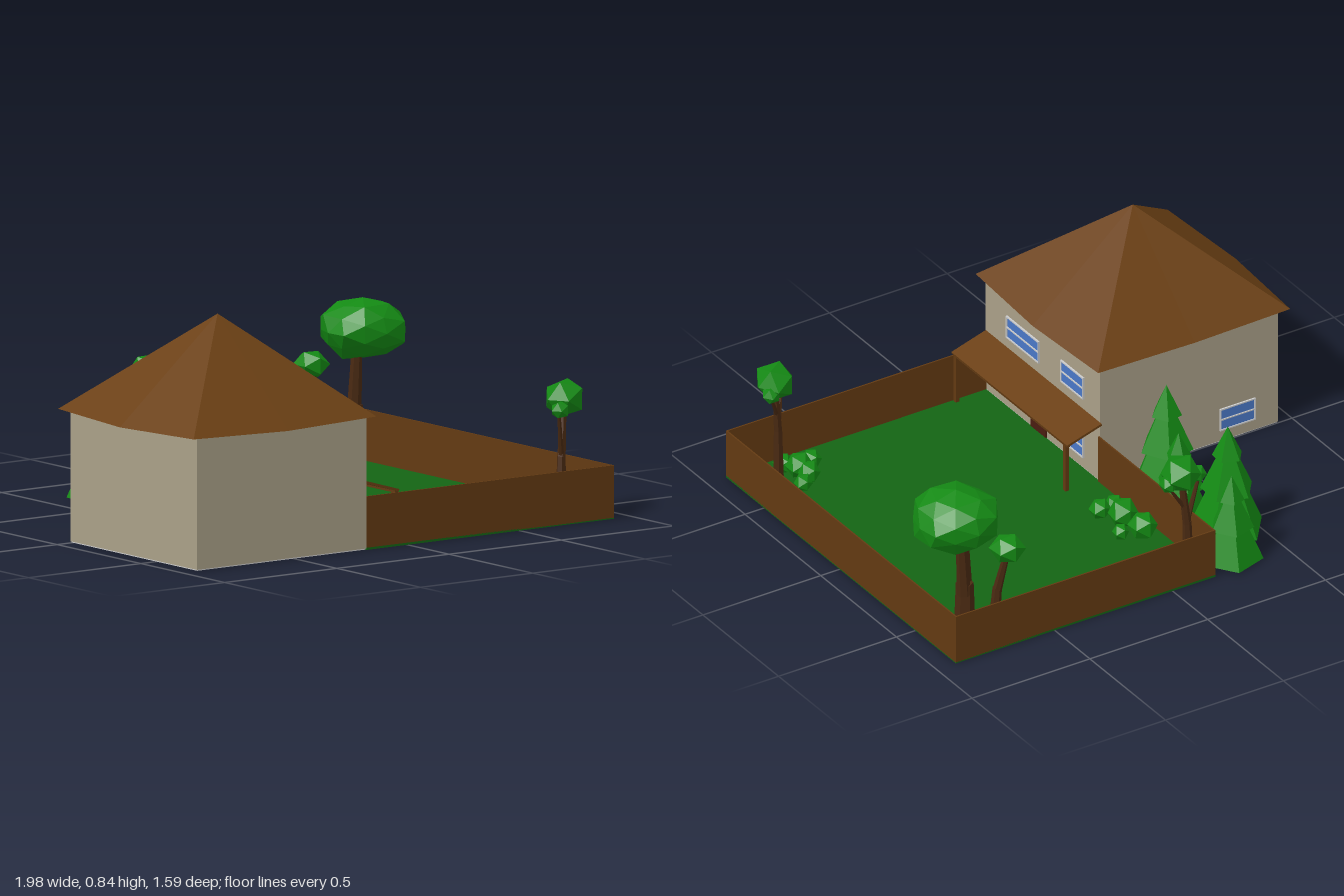
import * as THREE from 'three';

const mat = (color, double = false) => new THREE.MeshStandardMaterial({
  color, flatShading: true, side: double ? THREE.DoubleSide : THREE.FrontSide,
});
const M = {
  wall: mat(0xaaa088), roof: mat(0x6b4014, true), wood: mat(0x633a12), door: mat(0x4a1c10),
  grass: mat(0x146414), leaf: mat(0x148a14), bark: mat(0x4a2a12),
  frame: mat(0xe0e0e0), glass: mat(0x4a78c8), floor: mat(0xcccccc),
};

function add(parent, name, geo, material, x = 0, y = 0, z = 0) {
  const m = new THREE.Mesh(geo, material);
  m.name = name;
  m.position.set(x, y, z);
  parent.add(m);
  return m;
}

// box given by its min and max corners
function box(parent, name, material, a, b) {
  const s = b.map((v, i) => v - a[i]);
  return add(parent, name, new THREE.BoxGeometry(...s), material,
    ...a.map((v, i) => v + s[i] / 2));
}

function group(parent, name, x = 0, y = 0, z = 0) {
  const g = new THREE.Group();
  g.name = name;
  g.position.set(x, y, z);
  parent.add(g);
  return g;
}

// faceted leaf clump; shared corners move together
function clump(parent, name, c, r, detail = 0, seed = 1) {
  const geo = new THREE.IcosahedronGeometry(1, detail);
  const p = geo.attributes.position, v = new THREE.Vector3();
  for (let i = 0; i < p.count; i++) {
    v.fromBufferAttribute(p, i);
    const k = Math.sin(Math.round(v.x * 50) * 1.7 + Math.round(v.y * 50) * 2.3
      + Math.round(v.z * 50) * 3.1 + seed);
    v.multiplyScalar(1 + 0.08 * k);
    p.setXYZ(i, v.x * r[0], v.y * r[1], v.z * r[2]);
  }
  geo.computeVertexNormals();
  return add(parent, name, geo, M.leaf, ...c);
}

// tapered limb between two points
function limb(parent, name, a, b, r0, r1) {
  const A = new THREE.Vector3(...a), B = new THREE.Vector3(...b);
  const d = B.clone().sub(A);
  const m = add(parent, name, new THREE.CylinderGeometry(r1, r0, d.length(), 6), M.bark);
  m.position.copy(A).addScaledVector(d, 0.5);
  m.quaternion.setFromUnitVectors(new THREE.Vector3(0, 1, 0), d.normalize());
}

// framed window on the x-y plane facing +z
function windowUnit(parent, name, w, h, x, y, z, turn) {
  const g = group(parent, name, x, y, z);
  g.rotation.y = turn;
  const t = 0.005;
  box(g, 'glass', M.glass, [-w / 2, -h / 2, -0.003], [w / 2, h / 2, 0.002]);
  for (const s of [-1, 0, 1])
    add(g, 'frameRail', new THREE.BoxGeometry(w + t, t, 0.012), M.frame, 0, s * h / 2, 0);
  for (const s of [-1, 1])
    add(g, 'frameStile', new THREE.BoxGeometry(t, h + t, 0.012), M.frame, s * w / 2, 0, 0);
}

function house(root) {
  const g = group(root, 'house');
  box(g, 'walls', M.wall, [-0.94, 0.012, 0], [-0.185, 0.5, 0.755]);
  box(g, 'floor', M.floor, [-0.938, 0.008, 0.002], [-0.187, 0.014, 0.753]);

  // hipped roof with slightly bowed eaves
  const eave = [[-0.97, 0.775], [-0.565, 0.795], [-0.155, 0.775], [-0.14, 0.375],
    [-0.155, -0.035], [-0.565, -0.035], [-0.97, -0.035], [-1, 0.375]];
  const tri = [];
  eave.forEach(([x, z], i) => {
    const [u, w] = eave[(i + 1) % 8];
    const y = i % 2 ? 0.482 : 0.49, y2 = i % 2 ? 0.49 : 0.482;
    tri.push(x, y, z, u, y2, w, -0.565, 0.85, 0.375);
    tri.push(u, y2, w, x, y, z, -0.565, 0.495, 0.375);
  });
  const geo = new THREE.BufferGeometry();
  geo.setAttribute('position', new THREE.Float32BufferAttribute(tri, 3));
  geo.computeVertexNormals();
  add(g, 'roof', geo, M.roof);

  // windows and door
  const side = Math.PI / 2;
  windowUnit(g, 'upperWideWindow', 0.21, 0.085, -0.184, 0.345, 0.505, side);
  windowUnit(g, 'upperWindow', 0.145, 0.085, -0.184, 0.345, 0.178, side);
  windowUnit(g, 'lowerWindow', 0.145, 0.085, -0.184, 0.1, 0.178, side);
  windowUnit(g, 'backWindow', 0.145, 0.085, -0.767, 0.1, -0.001, Math.PI);
  box(g, 'door', M.door, [-0.188, 0.012, 0.35], [-0.179, 0.19, 0.45]);

  // sloping porch roof on posts
  const porch = group(g, 'porch');
  const p = add(porch, 'porchRoof', new THREE.BoxGeometry(0.153, 0.009, 0.765), M.roof,
    -0.113, 0.23, 0.372);
  p.rotation.z = -0.29;
  for (const z of [0.01, 0.735])
    box(porch, 'porchPost', M.wood, [-0.055, 0.012, z - 0.008], [-0.04, 0.207, z + 0.008]);
  box(porch, 'porchBeam', M.wood, [-0.055, 0.2, -0.005], [-0.042, 0.21, 0.75]);
}

function garden(root) {
  const g = group(root, 'garden');
  const x0 = -0.182, x1 = 0.92, z0 = -0.768, z1 = 0.752, t = 0.006;
  box(g, 'lawn', M.grass, [x0, 0.006, z0], [x1, 0.014, z1]);
  box(g, 'frontFence', M.wood, [x0, 0.01, z1 - t], [x1, 0.2, z1]);
  box(g, 'backFence', M.wood, [x0, 0.01, z0], [x1, 0.2, z0 + t]);
  box(g, 'rightFence', M.wood, [x1 - t, 0.01, z0], [x1, 0.2, z1]);
  box(g, 'leftFence', M.wood, [x0, 0.01, z0], [x0 + t, 0.2, 0]);
}

// five-sided fir made of stacked skirts
function fir(root, x, z, r, h, turn) {
  const g = group(root, 'firTree', x, 0.01, z);
  g.rotation.y = turn;
  for (const [lo, hi, rb, rt] of [[0, 0.38, 1, 0.52], [0.38, 0.71, 0.71, 0.27], [0.71, 1, 0.41, 0]])
    add(g, 'firTier', new THREE.CylinderGeometry(rt * r, rb * r, (hi - lo) * h, 5), M.leaf,
      0, (lo + hi) / 2 * h, 0);
}

// forked tree with one main crown and two side tufts
function forkedTree(root, x, z, turn) {
  const g = group(root, 'forkedTree', x, 0, z);
  g.rotation.y = turn;
  limb(g, 'trunk', [-0.02, 0.01, 0], [-0.015, 0.23, 0], 0.021, 0.016);
  limb(g, 'branch', [-0.015, 0.22, 0], [0.01, 0.42, 0], 0.016, 0.011);
  limb(g, 'branch', [-0.015, 0.23, 0], [-0.07, 0.39, 0.01], 0.011, 0.006);
  limb(g, 'branch', [-0.005, 0.29, 0], [0.07, 0.4, -0.01], 0.009, 0.005);
  clump(g, 'crown', [0.012, 0.437, 0], [0.078, 0.073, 0.08], 0, 2);
  clump(g, 'sideTuft', [-0.065, 0.405, 0.01], [0.034, 0.033, 0.036], 0, 3);
  clump(g, 'sideTuft', [0.07, 0.415, -0.01], [0.033, 0.034, 0.036], 0, 4);
}

function bush(root, lobes) {
  const g = group(root, 'bush');
  lobes.forEach(([x, z, r], i) => clump(g, 'bushLobe', [x, 0.01 + r * 0.9, z], [r, r, r], 0, i));
}

export function createModel() {
  const root = new THREE.Group();
  root.name = 'houseWithGarden';
  house(root);
  garden(root);

  fir(root, -0.37, -0.15, 0.14, 0.42, 0.2);
  fir(root, -0.3, -0.34, 0.115, 0.34, 0.5);
  fir(root, -0.4, -0.51, 0.14, 0.42, 0.9);
  fir(root, -0.3, -0.69, 0.115, 0.34, 0.3);

  forkedTree(root, -0.09, -0.7, 0);
  forkedTree(root, 0.79, 0.62, 0.6);

  // large tree with a broad crown
  const big = group(root, 'broadTree');
  limb(big, 'trunk', [0.8, 0.01, -0.64], [0.8, 0.24, -0.64], 0.04, 0.032);
  limb(big, 'branch', [0.79, 0.2, -0.63], [0.79, 0.46, -0.61], 0.025, 0.018);
  limb(big, 'branch', [0.81, 0.2, -0.65], [0.83, 0.46, -0.66], 0.025, 0.018);
  clump(big, 'crown', [0.828, 0.515, -0.625], [0.165, 0.112, 0.155], 1, 1);

  // slim leaning tree beside it
  const slim = group(root, 'slimTree');
  limb(slim, 'trunk', [0.72, 0.01, -0.7], [0.7, 0.22, -0.7], 0.022, 0.017);
  limb(slim, 'trunkTop', [0.7, 0.21, -0.7], [0.675, 0.38, -0.73], 0.017, 0.011);
  clump(slim, 'crown', [0.675, 0.388, -0.728], [0.062, 0.055, 0.065], 0, 5);

  bush(root, [[-0.11, -0.4, 0.055], [-0.035, -0.37, 0.033], [-0.09, -0.3, 0.06],
    [-0.11, -0.21, 0.038], [-0.05, -0.21, 0.04]]);
  bush(root, [[0.02, -0.7, 0.022], [0.05, -0.72, 0.028], [0.075, -0.69, 0.025], [0.055, -0.665, 0.022]]);
  bush(root, [[0.63, 0.64, 0.04], [0.73, 0.67, 0.04], [0.69, 0.56, 0.045],
    [0.74, 0.52, 0.035], [0.7, 0.61, 0.05]]);
  return root;
}
